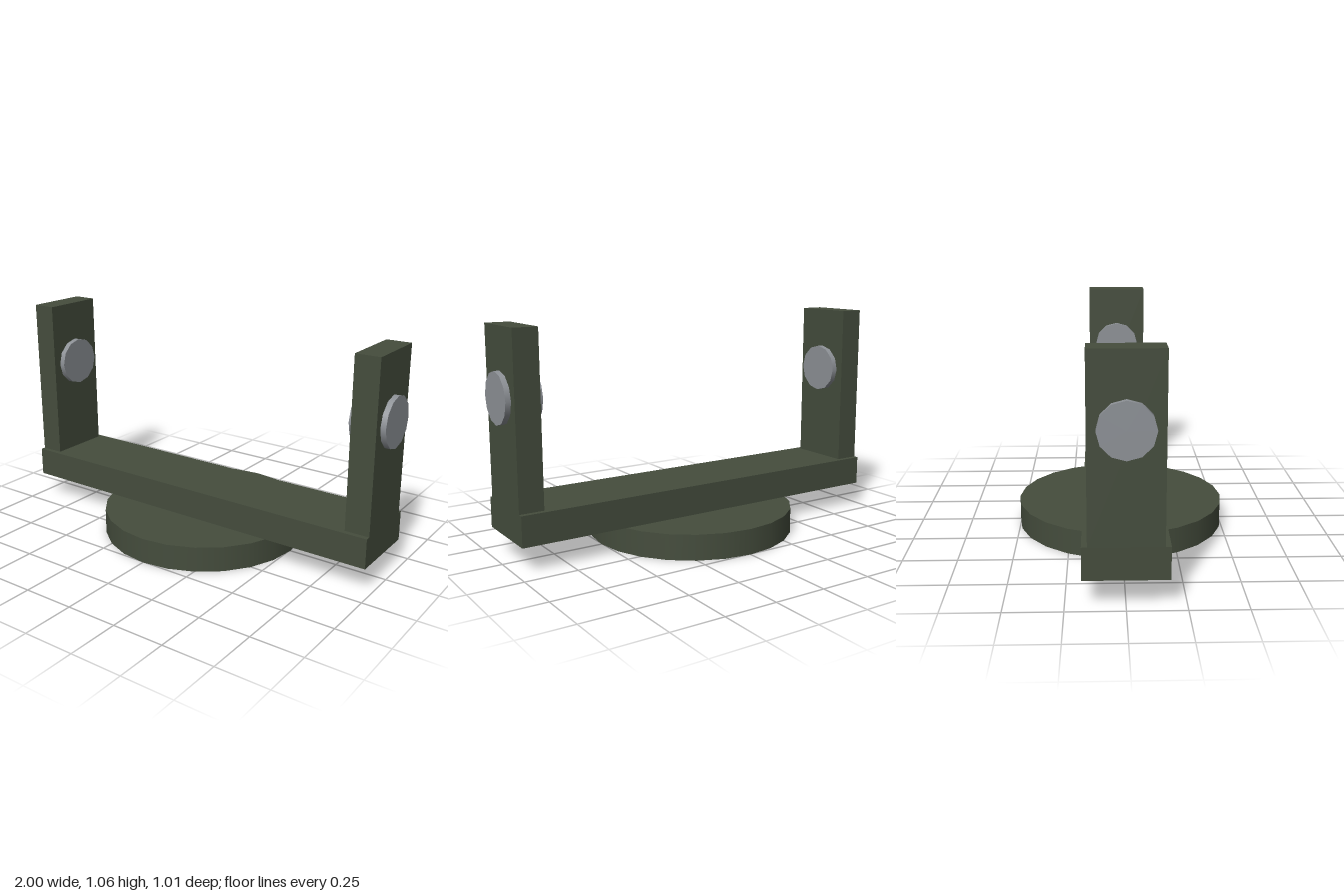
import * as THREE from 'three';

export function createModel() {
  const model = new THREE.Group();
  model.name = 'yokeBracket';

  const olive = new THREE.MeshStandardMaterial({ color: 0x454d3d });
  olive.name = 'olive paint';
  const steel = new THREE.MeshStandardMaterial({ color: 0x8e9297 });
  steel.name = 'grey steel';

  function add(name, geometry, material, x, y) {
    const mesh = new THREE.Mesh(geometry, material);
    mesh.name = name;
    mesh.position.set(x, y, 0);
    model.add(mesh);
  }

  const baseHeight = 0.122, barTop = 0.265, armTop = 1.06;

  // Round swivel base
  add('swivelBase', new THREE.CylinderGeometry(0.505, 0.505, baseHeight, 24), olive, 0, baseHeight / 2);

  // Cross bar
  add('crossBar', new THREE.BoxGeometry(1.95, barTop - baseHeight, 0.36), olive, 0, (barTop + baseHeight) / 2);

  // Upright arms, each with a pivot pin through it
  for (const [side, s] of [['left', 1], ['right', -1]]) {
    add(side + 'Arm', new THREE.BoxGeometry(0.117, armTop - barTop, 0.312), olive, s * 0.9165, (armTop + barTop) / 2);
    const pin = new THREE.CylinderGeometry(0.119, 0.119, 0.17, 12).rotateZ(Math.PI / 2);
    add(side + 'PivotPin', pin, steel, s * 0.915, 0.748);
  }

  return model;
}
